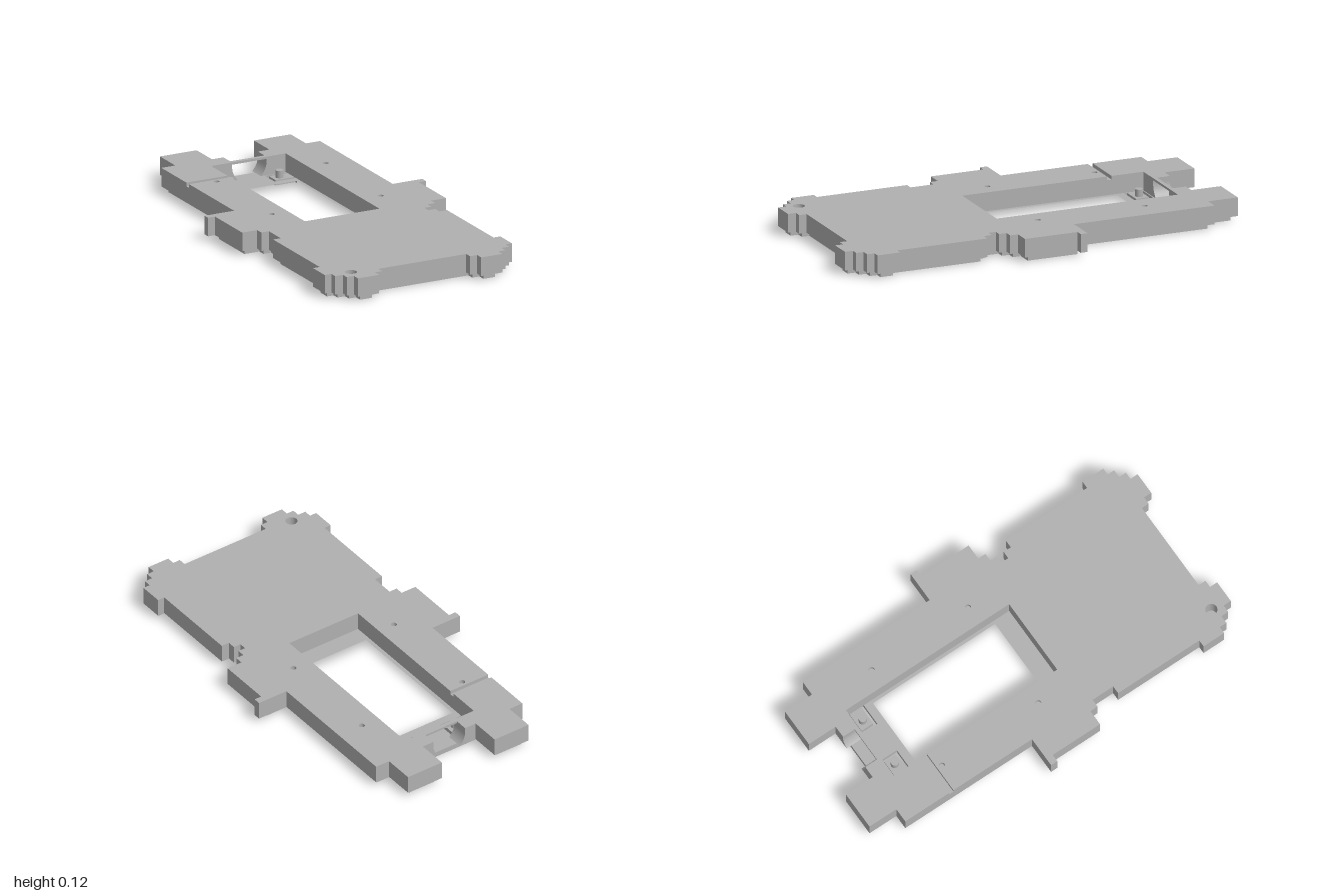
import * as THREE from 'three';

const grey = new THREE.MeshStandardMaterial({ color: 0xb0b0b0 });
grey.name = 'plain grey';

const BASE = 0.025, GROOVE = 0.097, TOP = 0.115;

// Stepped outer edge of one half, from back to front, as [x, z]
function halfEdge({ lug, notch }) {
  return [
    [0.15, -1], [0.342, -1], [0.342, -0.85], [0.415, -0.85], [0.415, -0.14],
    ...(lug ? [[0.57, -0.14], [0.57, -0.105], [0.533, -0.105]] : [[0.533, -0.14]]),
    [0.533, 0.16], [0.455, 0.16], [0.455, 0.2], [0.415, 0.2],
    ...(notch ? [[0.415, 0.238], [0.378, 0.238], [0.378, 0.275], [0.415, 0.275]] : []),
    [0.415, 0.315], [0.455, 0.315], [0.455, 0.77], [0.49, 0.77], [0.49, 0.885],
    [0.455, 0.885], [0.455, 0.922], [0.415, 0.922], [0.415, 0.96], [0.378, 0.96],
    [0.378, 1], [0.267, 1], [0.267, 0.96], [0.23, 0.96], [0.23, 0.922],
  ];
}
const mirror = (pts) => pts.map(([x, z]) => [-x, z]).reverse();

// Moves every edge of a right-angled outline inwards by d
function inset(pts, d) {
  const n = pts.length;
  let area = 0;
  pts.forEach(([x, z], i) => {
    const [u, w] = pts[(i + 1) % n];
    area += x * w - u * z;
  });
  const s = Math.sign(area) * d;
  const normal = (a, b) => {
    const dx = b[0] - a[0], dz = b[1] - a[1], l = Math.hypot(dx, dz);
    return [-dz / l * s, dx / l * s];
  };
  return pts.map((p, i) => {
    const a = normal(pts[(i + n - 1) % n], p), b = normal(p, pts[(i + 1) % n]);
    return [p[0] + a[0] + b[0], p[1] + a[1] + b[1]];
  });
}

const toVectors = (pts) => pts.map(([x, z]) => new THREE.Vector2(x, -z));
const polyHole = (pts) => new THREE.Path(toVectors(pts));
const roundHole = (x, z, r) => new THREE.Path().absarc(x, -z, r, 0, Math.PI * 2);
const rect = (x, z, w, d) => [
  [x - w / 2, z - d / 2], [x + w / 2, z - d / 2], [x + w / 2, z + d / 2], [x - w / 2, z + d / 2],
];

// Flat slab between two heights, cut from a plan outline
function slab(name, pts, y0, y1, holes = []) {
  const shape = new THREE.Shape(toVectors(pts));
  shape.holes.push(...holes);
  const geo = new THREE.ExtrudeGeometry(shape, { depth: y1 - y0, bevelEnabled: false, curveSegments: 16 });
  geo.rotateX(-Math.PI / 2).translate(0, y0, 0);
  const mesh = new THREE.Mesh(geo, grey);
  mesh.name = name;
  return mesh;
}

export function createModel() {
  const model = new THREE.Group();
  model.name = 'casing';

  const right = halfEdge({ lug: true, notch: true });
  const left = mirror(halfEdge({ lug: true, notch: false }));
  const cornerHole = () => roundHole(-0.362, 0.902, 0.028);

  // Main body, wrapped around the deep pocket
  const pocket = [[-0.2, -0.765], [-0.2, 0.15], [0.19, 0.15], [0.19, -0.765], [0.15, -0.765]];
  model.add(slab('body', [...right, ...left, [-0.15, -0.765], ...pocket], BASE, GROOVE, [cornerHole()]));

  // Top layer, split by the cable groove on one arm
  const back = left.slice(-4);
  const screws = [-0.285, 0.285].flatMap((x) => [-0.555, -0.015].map((z) => roundHole(x, z, 0.014)));
  model.add(slab('topLayer',
    [...right, ...left.slice(0, -4), [-0.415, -0.58], [-0.2, -0.58], ...pocket.slice(1)],
    GROOVE, TOP, [cornerHole(), ...screws]));
  model.add(slab('topLayerArm',
    [[-0.415, -0.605], ...back, [-0.15, -0.765], [-0.2, -0.765], [-0.2, -0.605]], GROOVE, TOP));

  // Inset base plate with window, spring slots and shallow recesses
  const plateEdge = inset([
    ...halfEdge({ lug: false, notch: true }), ...mirror(halfEdge({ lug: false, notch: false })),
    [-0.15, -0.85], [0.15, -0.85],
  ], 0.025);
  const slot = [
    [0.195, -0.76], [0.078, -0.76], [0.078, -0.665], [0.195, -0.665],
    [0.195, -0.68], [0.092, -0.68], [0.092, -0.745], [0.195, -0.745],
  ];
  const recesses = [
    [0.19, 0.67, 0.17, 0.14], [-0.19, 0.67, 0.17, 0.14], [0, 0.5, 0.2, 0.06],
    [0.03, 0.41, 0.14, 0.05], [-0.155, 0.34, 0.1, 0.08], [-0.31, 0.3, 0.1, 0.07],
  ].map((r) => polyHole(rect(...r)));
  model.add(slab('basePlate', plateEdge, 0, BASE, [
    polyHole(rect(-0.003, -0.282, 0.355, 0.685)),
    polyHole(slot), polyHole(mirror(slot)), cornerHole(), ...recesses,
  ]));

  // Posts on the spring tabs
  for (const x of [-0.13, 0.13]) {
    const post = new THREE.Mesh(new THREE.CylinderGeometry(0.019, 0.019, 0.035, 20), grey);
    post.position.set(x, BASE + 0.0175, -0.712);
    post.name = 'tabPost';
    model.add(post);
  }

  // Back wall with a round-bottomed socket
  for (const side of [-1, 1]) {
    const cheek = new THREE.Shape();
    cheek.moveTo(side * 0.15, BASE);
    cheek.lineTo(side * 0.15, TOP);
    cheek.lineTo(side * 0.09, TOP);
    for (let i = 0; i <= 10; i++) {
      const a = (i / 10) * Math.acos(0.06 / 0.09);
      cheek.lineTo(side * 0.09 * Math.cos(a), 0.092 - 0.09 * Math.sin(a));
    }
    const geo = new THREE.ExtrudeGeometry(cheek, { depth: 0.085, bevelEnabled: false });
    const mesh = new THREE.Mesh(geo.translate(0, 0, -0.85), grey);
    mesh.name = 'socketCheek';
    model.add(mesh);
  }
  model.add(slab('socketBar', rect(0, -0.775, 0.18, 0.02), 0.104, TOP));

  return model;
}
